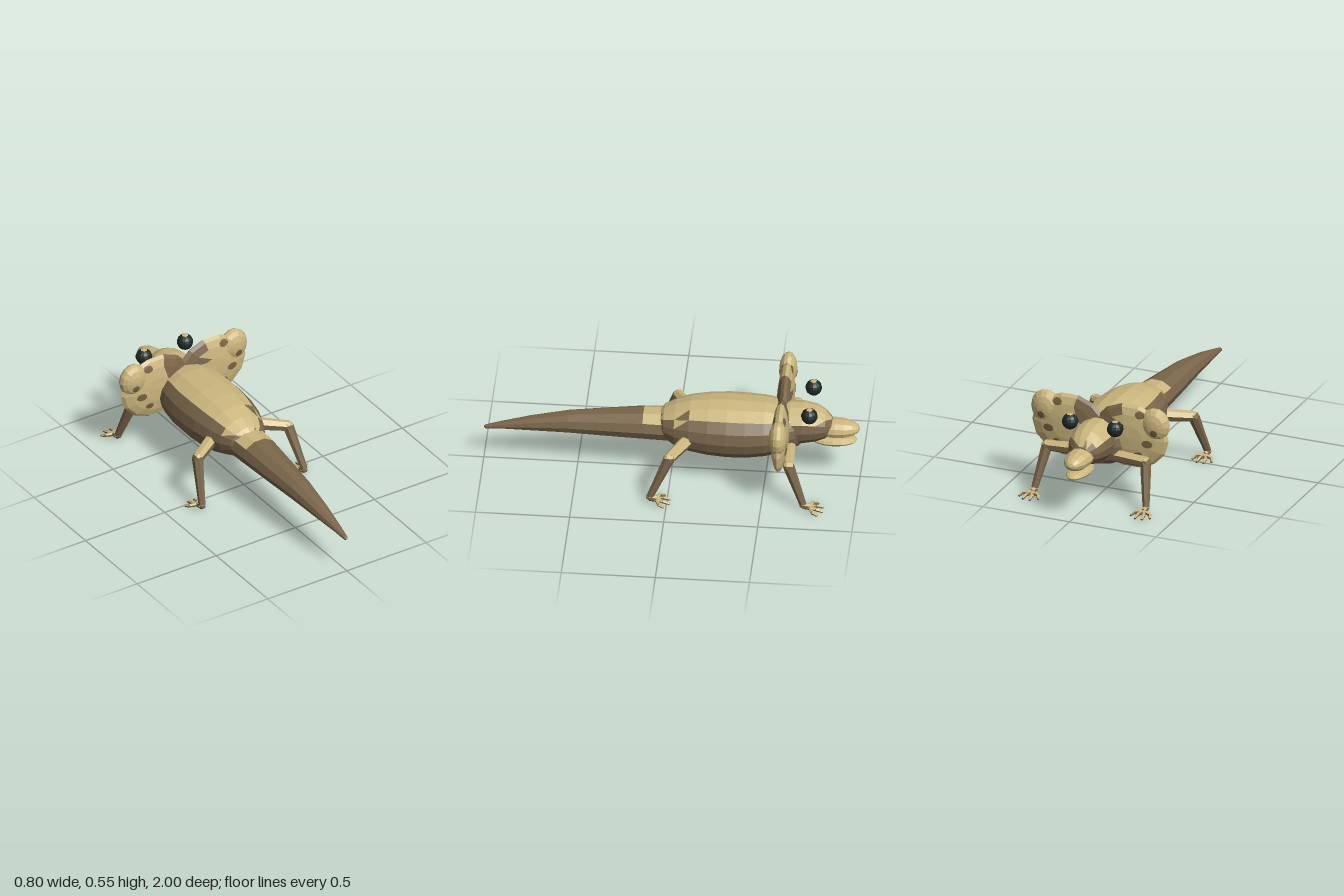
import * as THREE from 'three';
import { mergeGeometries } from 'three/addons/utils/BufferGeometryUtils.js';

const mat = (name, color, extra = {}) => {
  const m = new THREE.MeshStandardMaterial({ color, flatShading: true, ...extra });
  m.name = name;
  return m;
};

export function createModel() {
  const tan = mat('tan skin', 0xcbb67e);
  const brown = mat('brown skin', 0x7a664a);
  const spotBrown = mat('spot brown', 0x76623f, { side: THREE.DoubleSide });
  const eyeDark = mat('dark eye', 0x1c2a25);
  const model = new THREE.Group();

  const add = (name, geo, material) => {
    const mesh = new THREE.Mesh(geo, material);
    mesh.name = name;
    model.add(mesh);
    return mesh;
  };

  // Sorts faces into tan and brown by centre and normal
  const painted = (name, source, isTan) => {
    const p = source.toNonIndexed().getAttribute('position');
    const lists = [[], []];
    const tri = new THREE.Triangle(), c = new THREE.Vector3(), n = new THREE.Vector3();
    for (let i = 0; i < p.count; i += 3) {
      tri.setFromAttributeAndIndices(p, i, i + 1, i + 2);
      if (tri.getArea() < 1e-9) continue;
      tri.getMidpoint(c);
      tri.getNormal(n);
      const list = lists[isTan(c, n) ? 0 : 1];
      for (const v of [tri.a, tri.b, tri.c]) list.push(v.x, v.y, v.z);
    }
    const geo = new THREE.BufferGeometry();
    geo.setAttribute('position', new THREE.Float32BufferAttribute([...lists[0], ...lists[1]], 3));
    geo.addGroup(0, lists[0].length / 3, 0);
    geo.addGroup(lists[0].length / 3, lists[1].length / 3, 1);
    geo.computeVertexNormals();
    return add(name, geo, [tan, brown]);
  };

  // Elliptical rings [z, centre y, half width, half height], z ascending
  const loft = (rings, sides) => {
    const pos = [], index = [];
    for (const [z, cy, rx, ry] of rings)
      for (let j = 0; j < sides; j++) {
        const t = (j / sides) * Math.PI * 2;
        pos.push(Math.cos(t) * rx, cy + Math.sin(t) * ry, z);
      }
    for (let i = 0; i < rings.length - 1; i++)
      for (let j = 0; j < sides; j++) {
        const k = (j + 1) % sides;
        const a = i * sides + j, b = i * sides + k;
        index.push(a, b, a + sides, b, b + sides, a + sides);
      }
    const geo = new THREE.BufferGeometry();
    geo.setAttribute('position', new THREE.Float32BufferAttribute(pos, 3));
    geo.setIndex(index);
    return geo;
  };

  const ellipsoid = (x, y, z, rx, ry, rz, w = 14, h = 8) =>
    new THREE.SphereGeometry(1, w, h).rotateX(Math.PI / 2).scale(rx, ry, rz).translate(x, y, z);

  // Tapered limb segment from a to b
  const bone = (a, b, ra, rb, sides = 7) => {
    const A = new THREE.Vector3(...a), B = new THREE.Vector3(...b);
    const dir = B.clone().sub(A);
    const q = new THREE.Quaternion().setFromUnitVectors(new THREE.Vector3(0, 1, 0), dir.clone().normalize());
    return new THREE.CylinderGeometry(rb, ra, dir.length(), sides)
      .applyQuaternion(q).translate(...A.add(B).multiplyScalar(0.5).toArray());
  };

  // Torso
  painted('body', loft([
    [-0.73, 0.33, 0.005, 0.005], [-0.68, 0.32, 0.11, 0.11], [-0.6, 0.31, 0.16, 0.13],
    [-0.5, 0.305, 0.187, 0.15], [-0.4, 0.3, 0.199, 0.158], [-0.3, 0.3, 0.2, 0.16],
    [-0.2, 0.3, 0.192, 0.154], [-0.1, 0.3, 0.172, 0.141], [-0.02, 0.3, 0.143, 0.115],
    [0.04, 0.305, 0.108, 0.08], [0.07, 0.31, 0.06, 0.045], [0.075, 0.31, 0.002, 0.002],
  ], 16), (c, n) => (c.y > 0.405 || (c.z > -0.06 && c.y > 0.36)) && n.y > 0);

  // Tail
  painted('tail', loft([
    [-0.05, 0.285, 0.112, 0.085], [0.15, 0.285, 0.104, 0.082], [0.35, 0.275, 0.087, 0.071],
    [0.55, 0.265, 0.068, 0.059], [0.75, 0.242, 0.046, 0.039], [0.9, 0.22, 0.025, 0.02],
    [0.99, 0.203, 0.012, 0.011], [1, 0.202, 0.001, 0.001],
  ], 10), (c, n) => c.z < 0.15 && n.y > 0.5);

  // Head and jaws
  painted('head', loft([
    [-0.86, 0.335, 0.002, 0.002], [-0.85, 0.335, 0.05, 0.04], [-0.82, 0.337, 0.085, 0.073],
    [-0.77, 0.342, 0.106, 0.098], [-0.7, 0.342, 0.118, 0.112], [-0.63, 0.335, 0.118, 0.118],
    [-0.56, 0.33, 0.1, 0.11],
  ], 14), (c, n) => c.y > 0.385 && n.y > 0.3);
  add('upperJaw', ellipsoid(0, 0.316, -0.868, 0.07, 0.052, 0.132, 12, 8), tan);
  add('lowerJaw', ellipsoid(0, 0.243, -0.86, 0.062, 0.027, 0.125, 12, 8), tan);

  // Eyes, set unevenly, each with a pale patch on top
  for (const [name, x] of [['rightEye', -0.15], ['leftEye', 0.11]]) {
    add(name, new THREE.SphereGeometry(0.044, 12, 9).translate(x, 0.461, -0.74), eyeDark);
    add(name + 'Glint', new THREE.SphereGeometry(0.0455, 6, 2, 0, Math.PI * 2, 0, 0.42)
      .translate(x, 0.461, -0.74), tan);
  }

  // Two-lobed neck frill: [centre x, centre y, half width, half height, half depth]
  const lobes = [[0.175, 0.37, 0.219, 0.182, 0.045], [0.316, 0.455, 0.083, 0.094, 0.048]];
  const frillZ = -0.59;
  const frillDepth = (x, y) => Math.max(...lobes.map(([cx, cy, rx, ry, rz]) =>
    rz * Math.sqrt(Math.max(0, 1 - ((x - cx) / rx) ** 2 - ((y - cy) / ry) ** 2))));
  // Spots: [x, y, half width, half height]
  const spots = [[0.238, 0.505, 0.028, 0.021], [0.325, 0.42, 0.021, 0.021],
    [0.285, 0.35, 0.031, 0.022], [0.235, 0.28, 0.024, 0.018]];

  for (const s of [1, -1]) {
    const side = s > 0 ? 'left' : 'right';
    lobes.forEach(([cx, cy, rx, ry, rz], i) =>
      painted(side + (i ? 'FrillOuterLobe' : 'FrillMainLobe'),
        ellipsoid(s * cx, cy, frillZ, rx, ry, rz),
        (c) => !(s * c.x < 0.125 && c.y > 0.42)));

    const plates = [];
    for (const [cx, cy, rx, ry] of spots)
      for (const face of [1, -1]) {
        const g = new THREE.RingGeometry(0, 1, 9, 3);
        const p = g.getAttribute('position');
        for (let i = 0; i < p.count; i++) {
          const x = cx + p.getX(i) * rx, y = cy + p.getY(i) * ry;
          p.setXYZ(i, s * x, y, frillZ + face * (frillDepth(x, y) + 0.002));
        }
        if (s * face < 0) g.setIndex([...g.index.array].reverse());
        g.computeVertexNormals();
        plates.push(g);
      }
    add(side + 'FrillSpots', mergeGeometries(plates), spotBrown);

    // Legs: [name, hip, knee, ankle]
    const legs = [
      ['Front', [0.08, 0.26, -0.63], [0.285, 0.255, -0.645], [0.322, 0.035, -0.725]],
      ['Rear', [0.1, 0.29, -0.12], [0.285, 0.265, -0.01], [0.322, 0.035, 0.09]],
    ];
    for (const [name, hip, knee, ankle] of legs) {
      const m = ([x, y, z]) => [s * x, y, z];
      const [ax, , az] = ankle;
      const palm = [ax, 0.022, az - 0.035];
      const parts = [
        bone(m(hip), m(knee), 0.038, 0.03),
        ellipsoid(s * knee[0], knee[1], knee[2], 0.031, 0.031, 0.031, 7, 5),
        bone(m(knee), m(ankle), 0.031, 0.019),
        ellipsoid(s * ax, 0.032, az, 0.021, 0.018, 0.02, 7, 5),
        bone(m([ax, 0.028, az]), m(palm), 0.018, 0.017),
      ];
      // Toes bend outward, then run forward
      for (const [dx, dz] of [[-0.055, -0.08], [-0.018, -0.108], [0.022, -0.108], [0.057, -0.08]]) {
        const joint = [ax + dx * 0.8, 0.018, az + dz * 0.65];
        parts.push(bone(m(palm), m(joint), 0.012, 0.009, 6));
        parts.push(bone(m(joint), m([ax + dx, 0.008, az + dz]), 0.01, 0.006, 6));
      }
      painted(side + name + 'Leg', mergeGeometries(parts), (c, n) => n.y > 0.45);
    }
  }
  return model;
}
